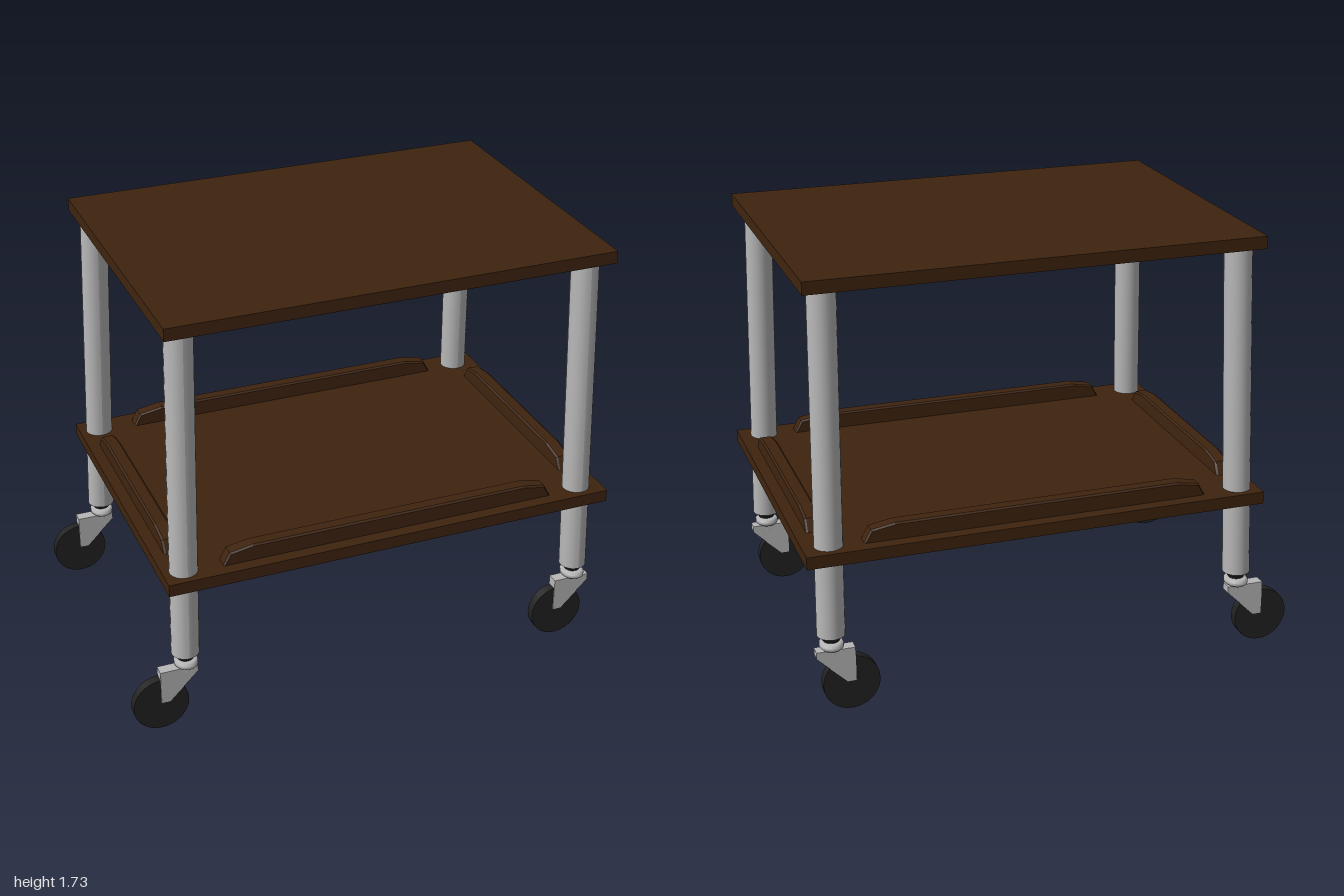
import * as THREE from 'three';

const wood = new THREE.MeshStandardMaterial({ color: 0x3f240f });
wood.name = 'dark wood';
const metal = new THREE.MeshStandardMaterial({ color: 0xb8b8b8 });
metal.name = 'grey metal';
const rubber = new THREE.MeshStandardMaterial({ color: 0x222222 });
rubber.name = 'black rubber';

const BOARD_X = 0.075;

function add(parent, name, geometry, material, x = 0, y = 0, z = 0) {
  const mesh = new THREE.Mesh(geometry, material);
  mesh.name = name;
  mesh.position.set(x, y, z);
  parent.add(mesh);
  return mesh;
}

function polygon(points) {
  return new THREE.Shape(points.map(([x, y]) => new THREE.Vector2(x, y)));
}

// Raised lip with sloping ends, centred on its length and thickness
function railGeometry(half) {
  const shape = polygon([
    [-half, 0], [half, 0], [half - 0.025, 0.044], [half - 0.115, 0.06],
    [-half + 0.115, 0.06], [-half + 0.025, 0.044],
  ]);
  const width = 0.06, bevel = 0.008;
  return new THREE.ExtrudeGeometry(shape, {
    depth: width - 2 * bevel, bevelEnabled: true, bevelSegments: 1,
    bevelSize: 0.006, bevelThickness: bevel, bevelOffset: 0,
  }).translate(0, 0, -width / 2 + bevel);
}

// Tube between two points, with level ends
function legGeometry(bottom, top, radius) {
  const height = top.y - bottom.y;
  const geometry = new THREE.CylinderGeometry(radius, radius, height, 24);
  const pos = geometry.attributes.position;
  for (let i = 0; i < pos.count; i++) {
    const t = pos.getY(i) / height + 0.5;
    pos.setX(i, pos.getX(i) + THREE.MathUtils.lerp(bottom.x, top.x, t));
    pos.setZ(i, pos.getZ(i) + THREE.MathUtils.lerp(bottom.z, top.z, t));
    pos.setY(i, THREE.MathUtils.lerp(bottom.y, top.y, t));
  }
  geometry.computeVertexNormals();
  return geometry;
}

// Swivel caster, its stem on the local y axis and its wheel trailing to -x
function caster(wheelX, forkX) {
  const group = new THREE.Group();
  group.name = 'caster';
  add(group, 'collar', new THREE.CylinderGeometry(0.048, 0.03, 0.03, 20), rubber, 0, 0.31);
  add(group, 'stem', new THREE.CylinderGeometry(0.024, 0.024, 0.08, 16), metal, 0, 0.275);

  // Swivel plate with a rounded rim
  const profile = [[0, 0], [0.044, 0], [0.055, 0.009], [0.055, 0.023], [0.044, 0.032], [0, 0.032]];
  const plate = new THREE.LatheGeometry(profile.map(([x, y]) => new THREE.Vector2(x, y)), 20);
  plate.scale(0.85, 1, 1.02);
  add(group, 'swivelPlate', plate, metal, 0, 0.265);

  // Solid wedge-shaped fork
  const forkShape = polygon([
    [0, 0.12], [0.035, 0.12], [0.152, 0.235], [0.152, 0.262], [0, 0.262],
  ]);
  const fork = new THREE.ExtrudeGeometry(forkShape, { depth: 0.046, bevelEnabled: false });
  add(group, 'fork', fork, metal, forkX, 0, -0.023);

  const wheel = new THREE.CylinderGeometry(0.112, 0.112, 0.038, 32).rotateX(Math.PI / 2);
  add(group, 'wheel', wheel, rubber, wheelX, 0.112, 0);
  return group;
}

export function createModel() {
  const model = new THREE.Group();
  model.name = 'trolley';

  // Boards
  add(model, 'topBoard', new THREE.BoxGeometry(1.79, 0.05, 1.27), wood, BOARD_X, 1.705, 0);
  add(model, 'lowerShelf', new THREE.BoxGeometry(1.85, 0.05, 1.32), wood, BOARD_X, 0.66, 0);

  // Lips round the lower shelf
  const longRail = railGeometry(0.687);
  const shortRail = railGeometry(0.445).rotateY(Math.PI / 2);
  for (const side of [-1, 1]) {
    add(model, 'longRail', longRail, wood, BOARD_X, 0.685, side * 0.58);
    add(model, 'shortRail', shortRail, wood, BOARD_X + side * 0.848, 0.685, 0);
  }

  // Splayed legs and their casters
  const corners = [
    { topX: -0.741, footX: -0.778, wheelX: -0.11, forkX: -0.11 },
    { topX: 0.882, footX: 0.905, wheelX: -0.071, forkX: -0.088 },
  ];
  for (const { topX, footX, wheelX, forkX } of corners) {
    for (const side of [-1, 1]) {
      const bottom = new THREE.Vector3(footX, 0.322, side * 0.592);
      const top = new THREE.Vector3(topX, 1.685, side * 0.548);
      add(model, 'leg', legGeometry(bottom, top, 0.055), metal);
      const foot = caster(wheelX, forkX);
      foot.position.set(footX, 0, side * 0.594);
      model.add(foot);
    }
  }
  return model;
}
